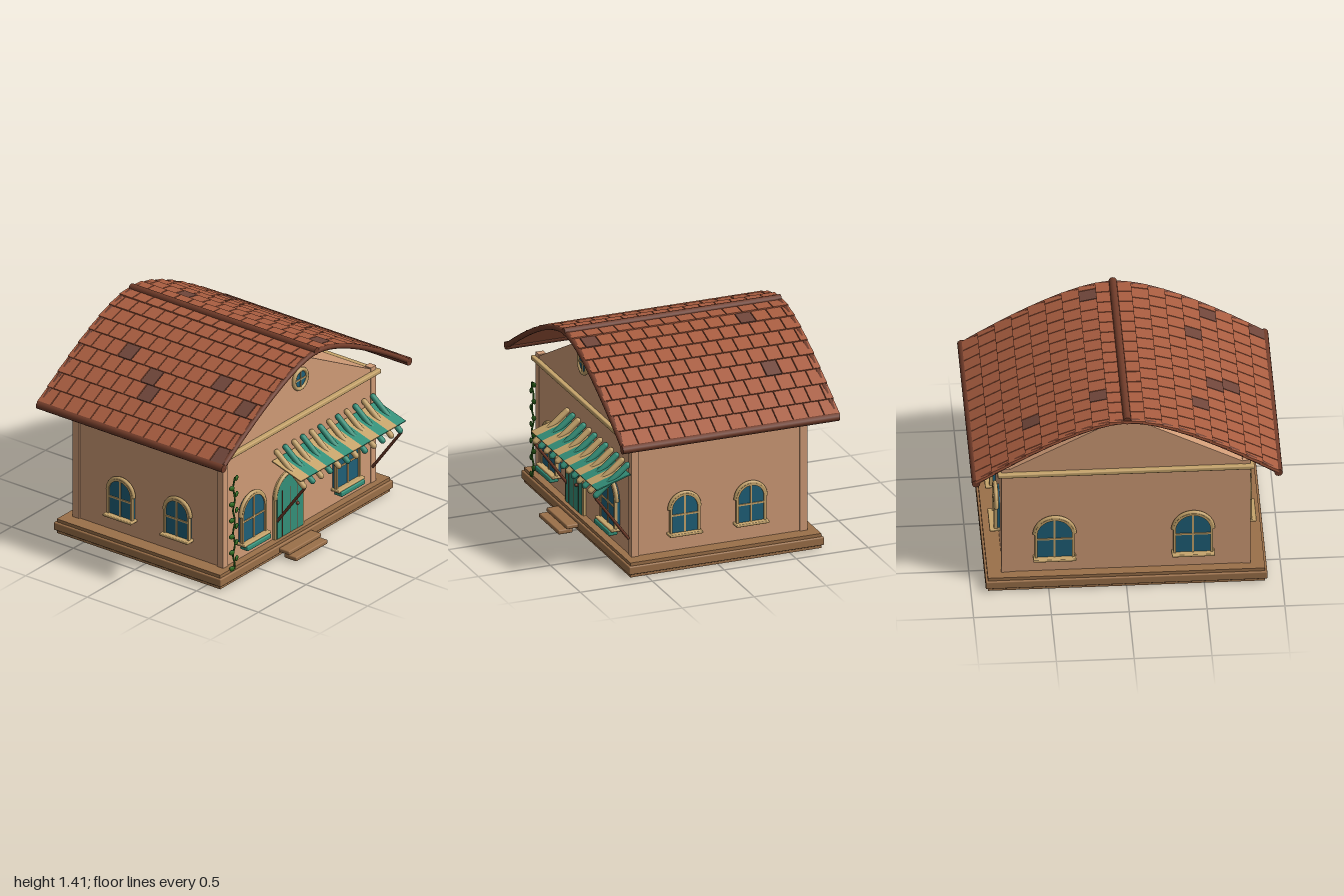
import * as THREE from 'three';
import { mergeGeometries } from 'three/addons/utils/BufferGeometryUtils.js';
import { RoundedBoxGeometry } from 'three/addons/geometries/RoundedBoxGeometry.js';

const mat = (name, color, side = THREE.FrontSide) => {
  const m = new THREE.MeshStandardMaterial({ color, side });
  m.name = name;
  return m;
};
const M = {
  wall: mat('plaster', 0xd09c77), tile: mat('roof tile', 0xa95d40), darkTile: mat('weathered tile', 0x70463a),
  dark: mat('dark wood', 0x6f3b29), trim: mat('trim', 0xc6a46b), glass: mat('glass', 0x1f6078),
  teal: mat('teal paint', 0x349079), leaf: mat('leaf', 0x2f6b1e, THREE.DoubleSide), base: mat('base wood', 0x9b7049),
};
const ZC = -0.05; // middle of the walls in z

function add(parent, name, geo, material, x = 0, y = 0, z = 0) {
  const m = new THREE.Mesh(geo, material);
  m.name = name;
  m.position.set(x, y, z);
  parent.add(m);
  return m;
}
const box = (w, h, d) => new THREE.BoxGeometry(w, h, d);
const rbox = (w, h, d, r = 0.008) => new RoundedBoxGeometry(w, h, d, 2, r);
const extrude = (shape, depth) => new THREE.ExtrudeGeometry(shape, { depth, bevelEnabled: false, curveSegments: 20 });
const V = (x, y, z) => new THREE.Vector3(x, y, z);

// Round bar between two points, optionally with domed ends
function bar(parent, name, a, b, r, material, domed = false) {
  const len = a.distanceTo(b);
  const geo = domed ? new THREE.CapsuleGeometry(r, len, 5, 12) : new THREE.CylinderGeometry(r, r, len, 12);
  const m = add(parent, name, geo, material);
  m.position.copy(a).lerp(b, 0.5);
  m.quaternion.setFromUnitVectors(V(0, 1, 0), b.clone().sub(a).normalize());
  return m;
}

function archShape(w, y0, yc, ShapeType = THREE.Shape) {
  const s = new ShapeType();
  s.moveTo(-w, y0);
  s.lineTo(w, y0);
  s.lineTo(w, yc);
  s.absarc(0, yc, w, 0, Math.PI, false);
  s.lineTo(-w, y0);
  return s;
}
function archRing(outer, inner, y0, yc, depth) {
  const s = archShape(outer, y0, yc);
  s.holes.push(archShape(inner, y0 + 0.001, yc, THREE.Path));
  return extrude(s, depth);
}

// Arched window facing +z, w is the half width
function makeWindow(name, w, y0, yc, planter) {
  const g = new THREE.Group();
  g.name = name;
  add(g, 'glass', extrude(archShape(w - 0.004, y0, yc), 0.03), M.glass);
  add(g, 'frame', archRing(w + 0.004, w - 0.012, y0, yc, 0.022), M.trim, 0, 0, 0.018);
  add(g, 'archMoulding', new THREE.TorusGeometry(w + 0.004, 0.014, 8, 24, Math.PI), M.trim, 0, yc, 0.024);
  add(g, 'uprightBar', box(0.012, yc + w - y0, 0.012), M.trim, 0, (y0 + yc + w) / 2, 0.03);
  add(g, 'crossBar', box(2 * w, 0.012, 0.012), M.trim, 0, y0 + 0.5 * (yc + w - y0) - 0.005, 0.03);
  add(g, 'sill', rbox(2 * w + 0.03, 0.018, 0.07, 0.006), M.trim, 0, y0, 0.033);
  if (planter) add(g, 'planter', rbox(2 * w, 0.034, 0.065), M.teal, 0, y0 - 0.02, 0.048);
  return g;
}

// Height of the curved roof at a distance a from the ridge
function roofY(a) {
  const t = (1.36 - Math.sqrt(Math.max(0, 1.8496 - 1.52 * (0.98 - Math.abs(a))))) / 0.76;
  return 1.37 - 0.45 * (1 - t) ** 2;
}

function makeRoof() {
  const g = new THREE.Group();
  g.name = 'roof';
  const z0 = -0.8, z1 = 0.69, N = 40;
  // Curved sheet under the tiles
  const s = new THREE.Shape();
  for (let i = 0; i <= N; i++) {
    const x = -0.96 + (1.92 * i) / N;
    i ? s.lineTo(x, roofY(x)) : s.moveTo(x, roofY(x));
  }
  for (let i = N; i >= 0; i--) {
    const x = -0.96 + (1.92 * i) / N;
    s.lineTo(x, roofY(x) - 0.012);
  }
  add(g, 'roofSheet', extrude(s, z1 - z0), M.tile, 0, 0, z0);
  // Staggered rows of tiles with a few weathered ones
  const worn = [[-0.49, -0.47], [-0.71, -0.1], [-0.6, -0.12], [-0.49, 0.27], [-0.6, 0.62], [-0.92, 0.64],
    [0.16, -0.49], [0.59, -0.49], [0.16, 0.62]];
  const tiles = [], wornTiles = [], rowW = 0.1075, tw = 0.1075;
  for (const side of [-1, 1]) for (let r = 0; r < 9; r++) {
    const a0 = r * rowW, a1 = a0 + rowW;
    const dy = roofY(a1) - roofY(a0), len = Math.hypot(rowW, dy);
    for (let k = 0; k < 15; k++) {
      const hi = Math.min(z1, z1 - (k - (r % 2) / 2) * tw);
      const lo = Math.max(z0 - 0.015, z1 - (k + 1 - (r % 2) / 2) * tw);
      if (hi - lo < 0.02) continue;
      const geo = box(len + 0.015, 0.014, hi - lo - 0.006);
      geo.rotateZ(Math.atan2(dy, rowW) + 0.07);
      geo.translate((a0 + a1) / 2, (roofY(a0) + roofY(a1)) / 2 + 0.012, 0);
      if (side < 0) geo.rotateY(Math.PI);
      geo.translate(0, 0, (hi + lo) / 2);
      const isWorn = worn.some(([x, z]) => x * side > a0 && x * side < a1 && z > lo && z < hi);
      (isWorn ? wornTiles : tiles).push(geo);
    }
  }
  add(g, 'roofTiles', mergeGeometries(tiles), M.tile);
  add(g, 'weatheredTiles', mergeGeometries(wornTiles), M.darkTile);
  // Bargeboards, eaves and ridge
  const pts = [];
  for (let i = 0; i <= 24; i++) {
    const x = -0.97 + (1.94 * i) / 24;
    pts.push(V(x, roofY(x) + 0.002, 0));
  }
  const rim = new THREE.TubeGeometry(new THREE.CatmullRomCurve3(pts), 60, 0.018, 10);
  add(g, 'frontBargeboard', rim, M.dark, 0, 0, 0.684);
  add(g, 'backBargeboard', rim, M.dark, 0, 0, -0.79);
  for (const x of [-0.972, 0.972]) bar(g, 'eaveBeam', V(x, 0.925, -0.805), V(x, 0.925, 0.7), 0.027, M.dark);
  bar(g, 'ridgeBeam', V(0, 1.383, -0.805), V(0, 1.383, 0.7), 0.026, M.dark);
  return g;
}

function makeAwning() {
  const g = new THREE.Group();
  g.name = 'awning';
  const w = 1.1 / 12;
  for (let i = 0; i < 12; i++) {
    const x = -0.3 + w * (i + 0.5), m = i % 2 ? M.teal : M.trim;
    const plate = add(g, 'awningStripe', box(w, 0.008, 0.245), m, x, 0.635, 0.685);
    plate.rotation.x = 0.31;
    bar(g, 'awningRoll', V(x, 0.722, 0.573), V(x, 0.545, 0.79), 0.02, m, true);
  }
  for (const x of [-0.25, 0.76]) bar(g, 'awningBrace', V(x, 0.215, 0.565), V(x, 0.53, 0.795), 0.01, M.dark);
  return g;
}

function makeVine() {
  const g = new THREE.Group();
  g.name = 'vine';
  const pts = [];
  for (let i = 0; i <= 16; i++) pts.push(V(-0.745 + 0.006 * Math.sin(i * 1.6), 0.09 + i * 0.041, 0.605 + 0.006 * Math.cos(i * 1.6)));
  add(g, 'stem', new THREE.TubeGeometry(new THREE.CatmullRomCurve3(pts), 48, 0.006, 6), M.leaf);
  for (let i = 0; i < 12; i++) {
    const s = i % 2 ? 1 : -1;
    const leaf = add(g, 'leaf', new THREE.SphereGeometry(0.023, 8, 6), M.leaf, -0.745 + s * 0.025, 0.1 + i * 0.0575, 0.607);
    leaf.scale.set(1, 0.8, 0.4);
    leaf.rotation.set(0, s * 0.3, s * 0.3);
  }
  return g;
}

export function createModel() {
  const house = new THREE.Group();
  house.name = 'house';

  // Base and steps
  add(house, 'basePlinth', box(1.78, 0.1, 1.325), M.base, 0, 0.05, -0.057);
  add(house, 'baseBand', rbox(1.81, 0.056, 1.355), M.base, 0, 0.05, -0.057);
  add(house, 'lowerStep', rbox(0.33, 0.03, 0.1), M.base, -0.12, 0.018, 0.705);
  add(house, 'upperStep', rbox(0.34, 0.028, 0.1), M.base, -0.12, 0.047, 0.65);

  // Walls with gabled attic
  const s = new THREE.Shape([[-0.79, 0.1], [0.79, 0.1], [0.79, 0.895], [0, 1.31], [-0.79, 0.895]].map(p => new THREE.Vector2(...p)));
  add(house, 'walls', extrude(s, 1.21), M.wall, 0, 0, ZC - 0.605);
  for (const x of [-0.775, 0.775]) for (const z of [0.535, -0.635])
    add(house, 'cornerPilaster', box(0.052, 0.83, 0.052), M.wall, x, 0.51, z);
  for (const z of [0.57, -0.67]) add(house, 'cornice', rbox(1.65, 0.03, 0.035), M.trim, 0, 0.882, z);
  for (const x of [-0.805, 0.805]) add(house, 'cornice', rbox(0.04, 0.03, 1.27), M.trim, x, 0.882, ZC);

  // Chimney
  add(house, 'chimney', box(0.12, 0.3, 0.12), M.base, 0.575, 0.96, -0.4);
  add(house, 'chimneyCap', rbox(0.14, 0.035, 0.15), M.base, 0.54, 1.125, -0.4);

  // Door
  const door = new THREE.Group();
  door.name = 'door';
  door.position.set(-0.125, 0, 0.555);
  house.add(door);
  add(door, 'doorPanel', extrude(archShape(0.134, 0.1, 0.385), 0.025), M.teal);
  add(door, 'doorFrame', archRing(0.152, 0.133, 0.1, 0.385, 0.02), M.trim);
  add(door, 'doorArch', new THREE.TorusGeometry(0.144, 0.012, 8, 24, Math.PI), M.trim, 0, 0.385, 0.018);
  for (const x of [-0.08, 0, 0.08]) add(door, 'plankGroove', box(0.004, 0.33, 0.004), M.dark, x, 0.265, 0.0245);
  add(door, 'doorKnob', new THREE.SphereGeometry(0.012, 12, 8), M.dark, 0.068, 0.285, 0.035);

  // Windows on every wall
  for (const x of [-0.515, 0.47]) {
    const w = makeWindow('frontWindow', 0.123, 0.215, 0.41, true);
    w.position.set(x, 0, 0.555);
    house.add(w);
  }
  for (const x of [-0.43, 0.46]) {
    const w = makeWindow('backWindow', 0.123, 0.22, 0.41, false);
    w.position.set(x, 0, -0.655);
    w.rotation.y = Math.PI;
    house.add(w);
  }
  for (const side of [-1, 1]) for (const z of [0.2, -0.26]) {
    const w = makeWindow('sideWindow', 0.1, 0.222, 0.392, false);
    w.position.set(side * 0.79, 0, z);
    w.rotation.y = side * Math.PI / 2;
    house.add(w);
  }

  // Round gable window
  const round = new THREE.Group();
  round.name = 'roundWindow';
  round.position.set(0, 1.145, 0.555);
  house.add(round);
  const pane = add(round, 'glass', new THREE.CylinderGeometry(0.066, 0.066, 0.02, 28), M.glass, 0, 0, 0.004);
  pane.rotation.x = Math.PI / 2;
  add(round, 'frame', new THREE.TorusGeometry(0.067, 0.014, 8, 28), M.trim, 0, 0, 0.012);
  add(round, 'uprightBar', box(0.01, 0.13, 0.01), M.trim, 0, 0, 0.014);
  add(round, 'crossBar', box(0.13, 0.01, 0.01), M.trim, 0, 0, 0.014);

  house.add(makeRoof(), makeAwning(), makeVine());
  return house;
}
